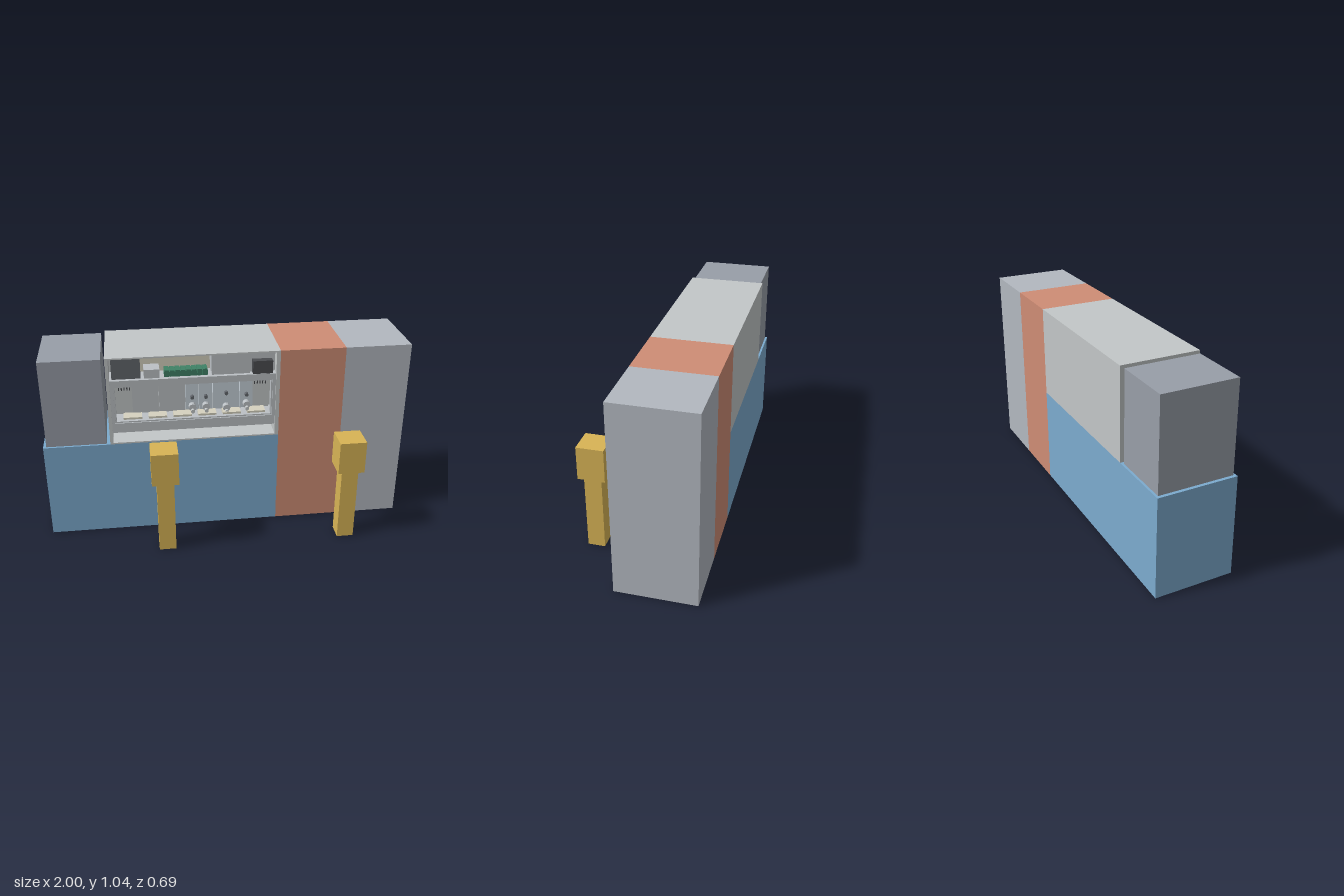
import * as THREE from 'three';

const mats = {};
const mat = (color) => (mats[color] ??= new THREE.MeshStandardMaterial({ color, flatShading: true }));

const BLUE = 0x7cabcf, ORANGE = 0xcf8d75, GREY = 0xb3b8c0, SLATE = 0x989ea8, SHELL = 0xc3c7c8;
const YELLOW = 0xd8b455, DARK = 0x62666c, BLACK = 0x4a4c50, GREEN = 0x3f8266, CREAM = 0xd6d2bf, PANEL = 0xbcc1c5, PALE = 0xc6d0d8;

export function createModel() {
  const root = new THREE.Group();

  // Box given by its limits on each axis
  function box(parent, name, color, x0, x1, y0, y1, z0, z1) {
    const m = new THREE.Mesh(new THREE.BoxGeometry(x1 - x0, y1 - y0, z1 - z0), mat(color));
    m.position.set((x0 + x1) / 2, (y0 + y1) / 2, (z0 + z1) / 2);
    m.name = name;
    parent.add(m);
    return m;
  }

  // Rectangular frame with one rectangular hole, each rectangle as [x0, x1, y0, y1]
  function frame(parent, name, color, outer, hole, z0, z1) {
    const trace = (p, [x0, x1, y0, y1]) =>
      p.moveTo(x0, y0).lineTo(x1, y0).lineTo(x1, y1).lineTo(x0, y1).closePath();
    const shape = new THREE.Shape();
    trace(shape, outer);
    const h = new THREE.Path();
    trace(h, hole);
    shape.holes.push(h);
    const g = new THREE.ExtrudeGeometry(shape, { depth: z1 - z0, bevelEnabled: false });
    const m = new THREE.Mesh(g, mat(color));
    m.position.z = z0;
    m.name = name;
    parent.add(m);
  }

  // Knob with its axis along z
  function knob(parent, name, color, x, y, r, z0, z1) {
    const m = new THREE.Mesh(new THREE.CylinderGeometry(r, r, z1 - z0, 12), mat(color));
    m.rotation.x = Math.PI / 2;
    m.position.set(x, y, (z0 + z1) / 2);
    m.name = name;
    parent.add(m);
  }

  // Large housings
  const ZB = -0.345, ZF = 0.08;
  box(root, 'baseCabinet', BLUE, -1, 0.285, 0, 0.545, ZB, ZF);
  box(root, 'middleColumn', ORANGE, 0.285, 0.64, 0, 1.043, ZB, ZF);
  box(root, 'endColumn', GREY, 0.64, 1, 0, 1.043, ZB, ZF);
  box(root, 'sideUnit', SLATE, -0.983, -0.66, 0.545, 1.035, -0.333, 0.068);

  // Open-fronted control cabinet
  const cab = new THREE.Group();
  cab.name = 'controlCabinet';
  root.add(cab);
  const BK = -0.06;
  box(cab, 'cabinetBack', SHELL, -0.64, 0.285, 0.545, 1.043, ZB, BK);
  frame(cab, 'cabinetShell', SHELL, [-0.64, 0.285, 0.545, 1.043], [-0.622, 0.264, 0.553, 1.035], BK, ZF);
  frame(cab, 'controlPanel', PANEL, [-0.622, 0.264, 0.61, 0.912], [-0.605, 0.247, 0.665, 0.878], 0.058, 0.072);
  box(cab, 'upperShelf', PANEL, -0.622, 0.264, 0.9, 0.912, BK, 0.06);
  box(cab, 'lowerShelf', PANEL, -0.622, 0.264, 0.61, 0.665, BK, 0.06);
  frame(cab, 'panelLip', PANEL, [-0.605, 0.247, 0.665, 0.878], [-0.597, 0.24, 0.672, 0.871], 0.03, 0.065);

  // Upper compartment
  const upper = new THREE.Group();
  upper.name = 'upperCompartment';
  cab.add(upper);
  box(upper, 'backPlate', CREAM, -0.46, -0.08, 0.912, 1.035, BK, -0.045);
  box(upper, 'powerUnit', DARK, -0.61, -0.457, 0.912, 1.025, BK, 0.05);
  box(upper, 'smallUnit', PANEL, -0.44, -0.357, 0.912, 0.96, -0.03, 0.055);
  box(upper, 'wideUnit', PANEL, -0.08, 0.125, 0.912, 1.035, BK, 0.05);
  box(upper, 'endUnit', PANEL, 0.125, 0.264, 0.912, 1.035, BK, 0.03);
  box(upper, 'switchUnit', BLACK, 0.14, 0.247, 0.912, 0.985, 0.03, 0.068);
  box(upper, 'terminalStrip', GREEN, -0.333, -0.1, 0.912, 0.94, -0.02, 0.045);
  for (let i = 0; i < 8; i++) {
    const x = -0.331 + i * 0.029;
    box(upper, 'terminal', GREEN, x, x + 0.024, 0.914, 0.95, -0.01, 0.052);
  }

  // Middle compartment
  const mid = new THREE.Group();
  mid.name = 'middleCompartment';
  cab.add(mid);
  box(mid, 'mountingPlate', SHELL, -0.605, 0.247, 0.665, 0.9, BK, -0.045);
  for (const start of [-0.582, 0.165])
    for (let i = 0; i < 5; i++) {
      const x = start + i * 0.015;
      box(mid, 'ventSlot', BLACK, x, x + 0.006, 0.805, 0.86, -0.05, -0.043);
    }
  box(mid, 'plainModule', PANEL, -0.508, -0.367, 0.68, 0.863, -0.05, -0.015);
  box(mid, 'plainModule', PANEL, -0.363, -0.222, 0.68, 0.863, -0.05, -0.015);

  // Modules with knobs: left, right, height of the upper and the lower knob
  for (const [x0, x1, yu, yl] of [
    [-0.218, -0.148, 0.763, 0.708], [-0.144, -0.072, 0.763, 0.708],
    [-0.068, 0.077, 0.778, 0.695], [0.081, 0.152, 0.763, 0.708],
  ]) {
    const c = (x0 + x1) / 2;
    box(mid, 'knobModule', PALE, x0, x1, 0.68, 0.863, -0.05, -0.015);
    box(mid, 'moduleLabel', BLACK, x0 + 0.008, x1 - 0.008, 0.848, 0.856, -0.02, -0.012);
    knob(mid, 'upperKnob', DARK, c, yu, 0.01, -0.02, 0.008);
    knob(mid, 'lowerKnob', PANEL, c, yl, 0.02, -0.02, 0.018);
    knob(mid, 'knobStem', SHELL, c, yl - 0.015, 0.011, 0.01, 0.035);
  }

  // Low connector blocks along the floor
  for (let i = 0; i < 6; i++) {
    const x = -0.56 + i * 0.135;
    box(mid, 'connectorBlock', CREAM, x, x + 0.1, 0.665, 0.683, -0.02, 0.045);
  }

  // Two free-standing posts in front
  for (const x of [-0.36, 0.64]) {
    const post = new THREE.Group();
    post.name = 'post';
    box(post, 'postStem', YELLOW, x - 0.046, x + 0.046, 0, 0.425, 0.23, 0.322);
    box(post, 'postHead', YELLOW, x - 0.072, x + 0.072, 0.423, 0.606, 0.202, 0.346);
    root.add(post);
  }
  return root;
}
